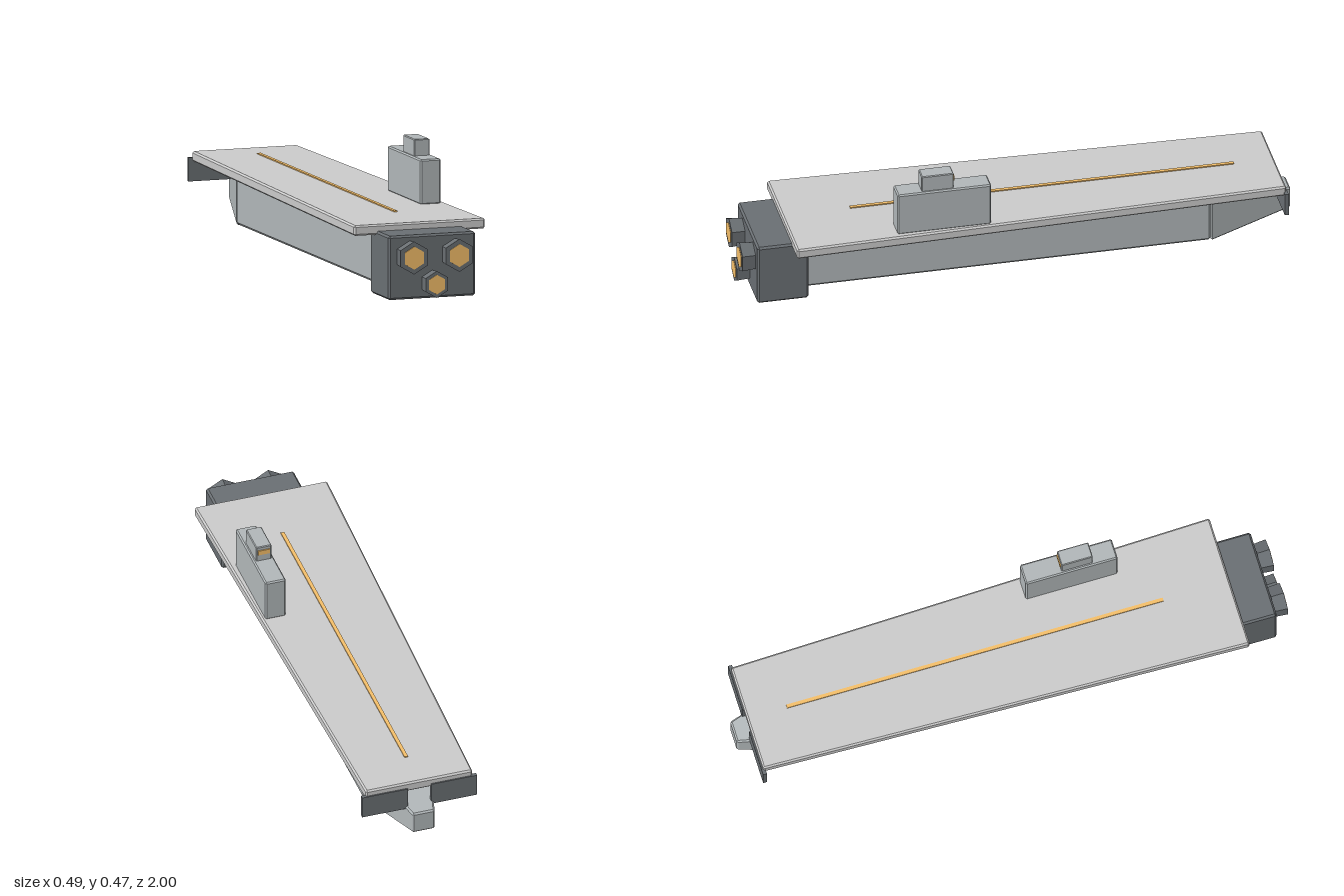
import * as THREE from 'three';
import { ConvexGeometry } from 'three/addons/geometries/ConvexGeometry.js';

const paint = (color) => new THREE.MeshStandardMaterial({ color, flatShading: true });

// Hull between two rectangular ends, every edge chamfered by c.
// Each end is { z, w: half width, y0, y1 }.
function chamferedHull(front, back, c) {
  const points = [];
  for (const [end, dz] of [[front, -1], [back, 1]]) {
    for (const sx of [-1, 1]) {
      for (const [y, dy] of [[end.y0, 1], [end.y1, -1]]) {
        const x = sx * end.w, xi = sx * (end.w - c);
        points.push(
          new THREE.Vector3(x, y + dy * c, end.z + dz * c),
          new THREE.Vector3(xi, y, end.z + dz * c),
          new THREE.Vector3(xi, y + dy * c, end.z)
        );
      }
    }
  }
  return new ConvexGeometry(points);
}

// Straight chamfered block
const block = (w, y0, y1, z0, z1, c) =>
  chamferedHull({ z: z1, w, y0, y1 }, { z: z0, w, y0, y1 }, c);

export function createModel() {
  const model = new THREE.Group();
  const light = paint(0xcccccc);
  const mid = paint(0xb1b7b9);
  const dark = paint(0x6a6f73);
  const gold = paint(0xf5bf6a);

  const add = (name, geometry, material, x = 0, y = 0, z = 0) => {
    const mesh = new THREE.Mesh(geometry, material);
    mesh.name = name;
    mesh.position.set(x, y, z);
    model.add(mesh);
    return mesh;
  };

  // Tapering deck with its centre line
  add('deck', chamferedHull(
    { z: 0.825, w: 0.246, y0: 0.215, y1: 0.252 },
    { z: -0.95, w: 0.198, y0: 0.215, y1: 0.252 }, 0.006), light);
  add('centreStripe', new THREE.BoxGeometry(0.013, 0.008, 1.385), gold, 0, 0.252, -0.112);

  // Keel and tapering tail
  add('keel', block(0.125, 0.022, 0.222, -0.697, 0.78, 0.01), mid);
  add('tail', chamferedHull(
    { z: -0.695, w: 0.122, y0: 0.02, y1: 0.195 },
    { z: -1.0, w: 0.042, y0: 0.067, y1: 0.15 }, 0.006), mid);

  // Engine block with three hexagonal nozzles
  add('engineBlock', block(0.163, 0, 0.228, 0.765, 0.95, 0.007), dark);
  for (const [x, y, r, glow] of [
    [-0.085, 0.154, 0.0585, 0.041],
    [0.085, 0.154, 0.0585, 0.041],
    [0, 0.055, 0.048, 0.035],
  ]) {
    const nozzle = new THREE.CylinderGeometry(r, r * 0.92, 0.052, 6).rotateX(Math.PI / 2);
    add('nozzle', nozzle, dark, x, y, 0.972);
    const core = new THREE.CylinderGeometry(glow, glow, 0.01, 6).rotateX(Math.PI / 2);
    add('nozzleCore', core, gold, x, y, 0.995);
  }

  // Pair of plates hanging under the rear edge
  for (const side of [-1, 1]) {
    add('rearPlate', new THREE.BoxGeometry(0.17, 0.085, 0.014), dark, side * 0.128, 0.1875, -0.948);
  }

  // Offset tower, cabin and rear window
  add('tower', block(0.038, 0.25, 0.411, 0.118, 0.456, 0.005), mid, 0.178);
  add('cabin', block(0.0285, 0.408, 0.47, 0.252, 0.367, 0.003), mid, 0.178);
  add('cabinWindow', new THREE.BoxGeometry(0.044, 0.018, 0.006), gold, 0.178, 0.447, 0.251);

  return model;
}
